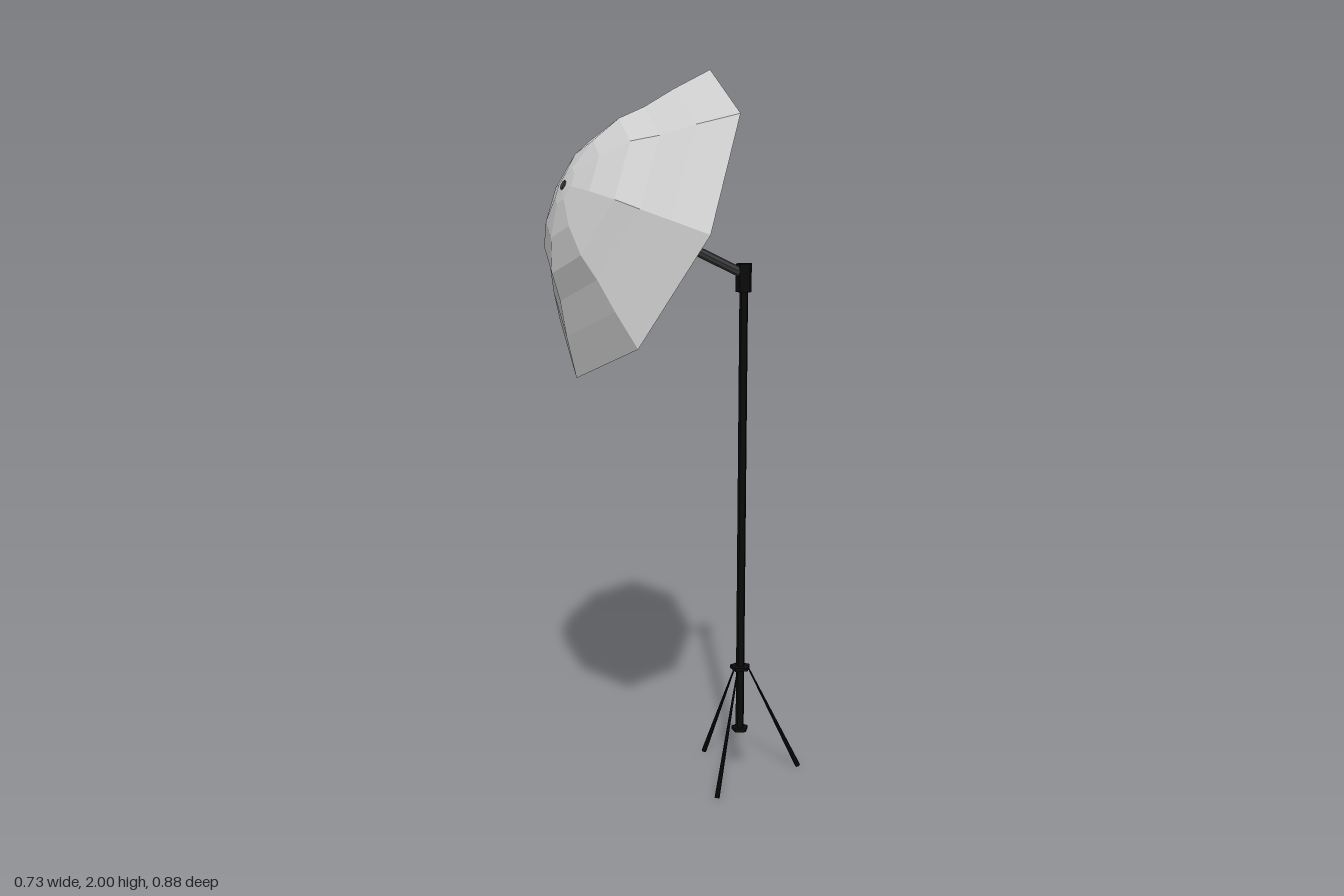
import * as THREE from 'three';

const flat = (name, color, side = THREE.FrontSide) => {
  const m = new THREE.MeshStandardMaterial({ color, flatShading: true, side });
  m.name = name;
  return m;
};

export function createModel() {
  const group = new THREE.Group();
  const black = flat('black metal', 0x0b0b0b);
  const grey = flat('dark grey rod', 0x3c3c3c);
  const fabric = flat('pale grey fabric', 0xcecece, THREE.DoubleSide);

  const add = (name, geometry, material, x = 0, y = 0, z = 0) => {
    const mesh = new THREE.Mesh(geometry, material);
    mesh.name = name;
    mesh.position.set(x, y, z);
    group.add(mesh);
    return mesh;
  };

  // Tapered bar between two points
  const bar = (name, from, to, rFrom, rTo, sides, material) => {
    const dir = to.clone().sub(from);
    const mesh = add(name, new THREE.CylinderGeometry(rTo, rFrom, dir.length(), sides), material);
    mesh.position.copy(from).addScaledVector(dir, 0.5);
    mesh.quaternion.setFromUnitVectors(new THREE.Vector3(0, 1, 0), dir.normalize());
    return mesh;
  };

  // Upright pentagonal piece with one corner towards +x
  const poleX = 0.18;
  const upright = (name, radius, y0, y1) => {
    const g = new THREE.CylinderGeometry(radius, radius, y1 - y0, 5).rotateY(Math.PI / 2);
    return add(name, g, black, poleX, (y0 + y1) / 2, 0);
  };

  // Stand
  upright('pole', 0.0125, 0.14, 1.44);
  upright('poleFoot', 0.025, 0.136, 0.146);
  upright('legCollar', 0.03, 0.325, 0.335);
  upright('tiltHead', 0.023, 1.415, 1.492);

  // Tripod legs, thin at the collar and thicker at the floor
  [[0.357, 0.03], [0.05, 0.13], [0.142, -0.172]].forEach(([x, z]) => {
    const out = new THREE.Vector3(x - poleX, 0, z).setLength(0.022);
    bar('leg', new THREE.Vector3(poleX + out.x, 0.33, out.z),
      new THREE.Vector3(x, 0.004, z), 0.002, 0.0075, 8, black);
  });

  // Tilted umbrella: axis runs from the rim centre to the apex
  const axis = new THREE.Vector3(-0.901, 0.433, 0).normalize();
  const rim = new THREE.Vector3(-0.113, 1.604, 0);
  bar('umbrellaRod', rim.clone().addScaledVector(axis, -0.325),
    rim.clone().addScaledVector(axis, 0.243), 0.0135, 0.0125, 8, grey);

  // Eight-sided canopy, radius and depth from rim to apex
  const profile = [[0.438, 0], [0.35, 0.07], [0.272, 0.125], [0.216, 0.175], [0.135, 0.215], [0.05, 0.236], [0, 0.24]]
    .map(([r, d]) => new THREE.Vector2(r, d));
  const canopy = add('canopy', new THREE.LatheGeometry(profile, 8), fabric);
  canopy.position.copy(rim);
  canopy.rotation.z = Math.atan2(-axis.x, axis.y);

  return group;
}
